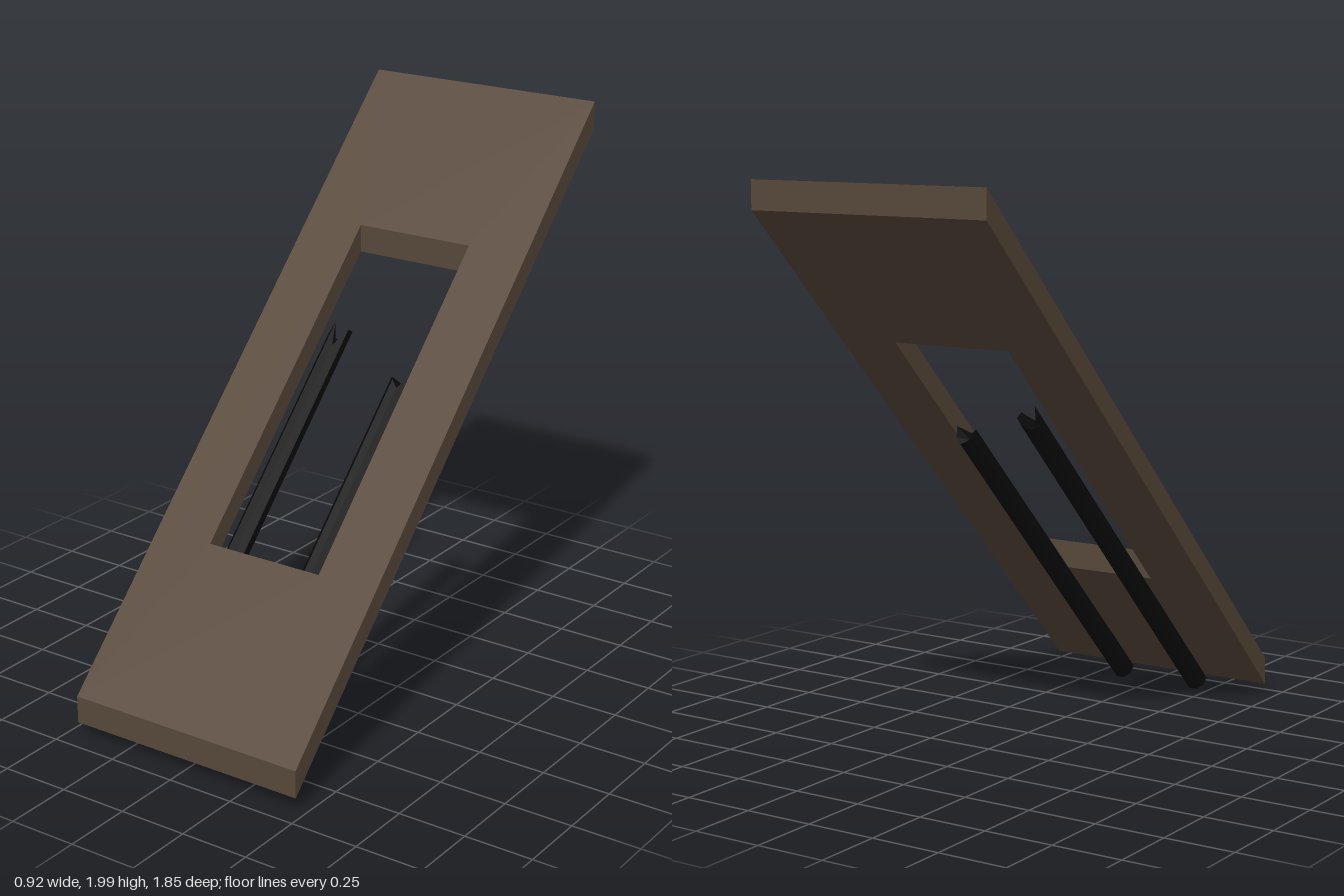
import * as THREE from 'three';

const wood = new THREE.MeshStandardMaterial({ color: 0x574739 });
wood.name = 'brown board';
const charred = new THREE.MeshStandardMaterial({ color: 0x0b0b0b });
charred.name = 'charred black';

// Rectangle outline, traced as a shape or a hole
function rect(path, x, y0, y1) {
  path.moveTo(-x, y0);
  path.lineTo(x, y0);
  path.lineTo(x, y1);
  path.lineTo(-x, y1);
  path.closePath();
  return path;
}

// Board with an opening, laid flat and sheared to a 45 degree slope with upright ends
function makeBoard() {
  const outline = rect(new THREE.Shape(), 0.462, -0.925, 0.925);
  outline.holes.push(rect(new THREE.Path(), 0.23, -0.462, 0.465));
  const geo = new THREE.ExtrudeGeometry(outline, { depth: 0.1, bevelEnabled: false });
  geo.rotateX(-Math.PI / 2);
  const p = geo.attributes.position;
  for (let i = 0; i < p.count; i++) p.setY(i, p.getY(i) + 0.975 - p.getZ(i));
  geo.computeVertexNormals();
  const mesh = new THREE.Mesh(geo, wood);
  mesh.name = 'slopedBoard';
  return mesh;
}

// Eight-sided beam under the board; tips gives the splintered height at each corner
function makeBeam(name, x, tips, core) {
  const base = -0.603, step = Math.PI / 4;
  const geo = new THREE.CylinderGeometry(0.039, 0.041, 1, 8, 1, false, step / 2).toNonIndexed();
  const p = geo.attributes.position;
  for (let i = 0; i < p.count; i++) {
    const px = p.getX(i), pz = p.getZ(i);
    let y = base;
    if (p.getY(i) > 0) {
      const k = Math.round(Math.atan2(px, pz) / step - 0.5);
      y = Math.hypot(px, pz) < 0.001 ? core : tips[(k + 8) % 8];
    }
    p.setY(i, y);
  }
  geo.translate(0, 0, 0.649);
  geo.rotateX(-Math.PI / 4);
  geo.computeVertexNormals();
  const mesh = new THREE.Mesh(geo, charred);
  mesh.name = name;
  mesh.position.x = x;
  return mesh;
}

export function createModel() {
  const group = new THREE.Group();
  group.name = 'brokenSlopedPanel';
  group.add(
    makeBoard(),
    makeBeam('rightBrokenBeam', -0.187, [0.965, 1.045, 1.053, 1.046, 1.02, 1.015, 1.015, 1.057], 0.985),
    makeBeam('leftBrokenBeam', 0.138, [0.86, 0.925, 0.9, 0.89, 0.905, 0.912, 0.905, 0.888], 0.87),
  );
  return group;
}
